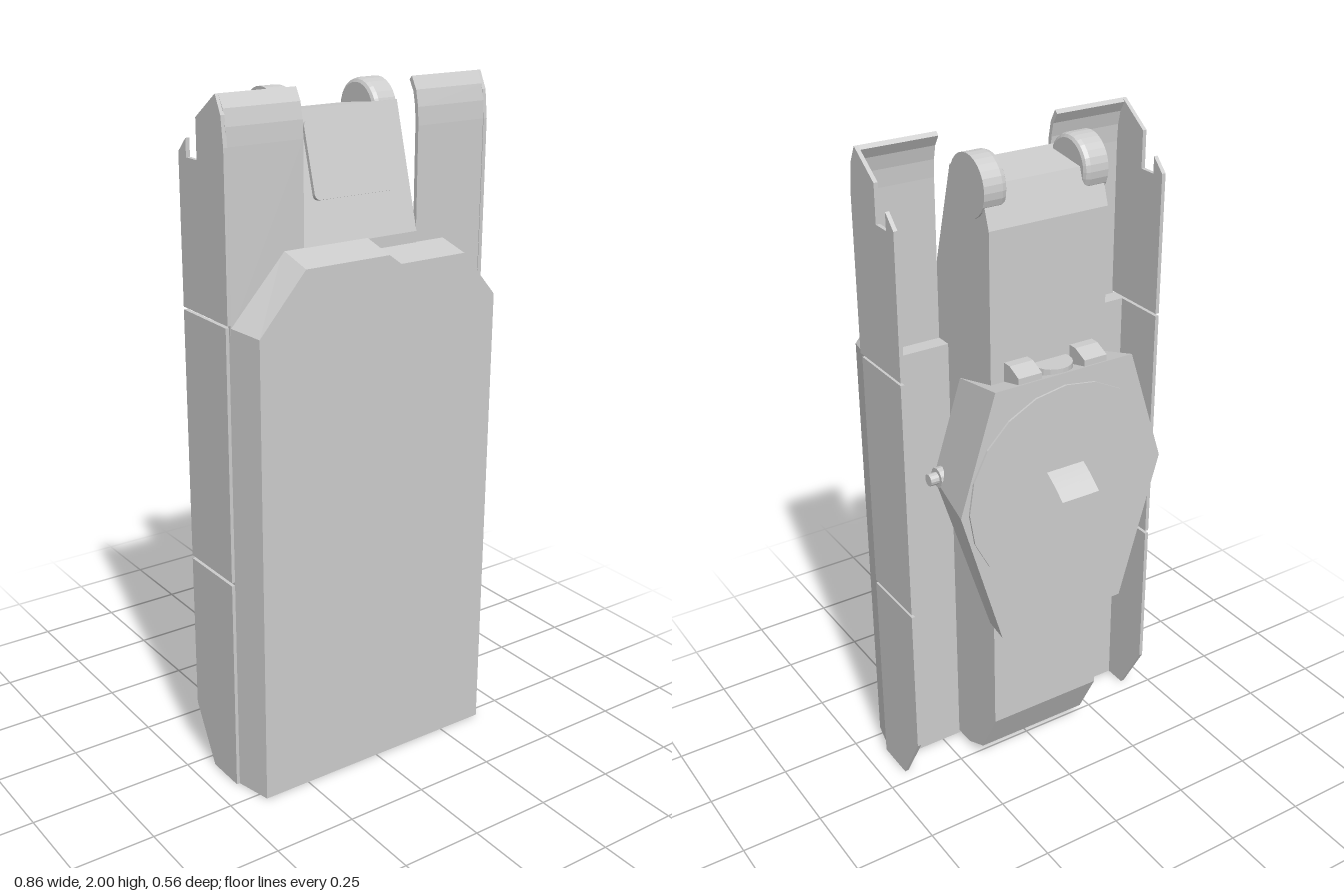
import * as THREE from 'three';
import { ConvexGeometry } from 'three/addons/geometries/ConvexGeometry.js';

const mat = new THREE.MeshStandardMaterial({ color: 0xcccccc, flatShading: true });
const smooth = new THREE.MeshStandardMaterial({ color: 0xcccccc });
const V = (x, y, z) => new THREE.Vector3(x, y, z);

export function createModel() {
  const model = new THREE.Group();

  const add = (name, geo, material = mat) => {
    const m = new THREE.Mesh(geo, material);
    m.name = name;
    model.add(m);
    return m;
  };

  const box = (name, x0, x1, y0, y1, z0, z1) => {
    const g = new THREE.BoxGeometry(x1 - x0, y1 - y0, z1 - z0);
    g.translate((x0 + x1) / 2, (y0 + y1) / 2, (z0 + z1) / 2);
    return add(name, g);
  };

  // Side profile of [z, y] points, extruded from x0 to x1
  const profile = (name, pts, x0, x1) => {
    const shape = new THREE.Shape(pts.map(([z, y]) => new THREE.Vector2(z, y)));
    const g = new THREE.ExtrudeGeometry(shape, { depth: x1 - x0, bevelEnabled: false });
    g.rotateY(-Math.PI / 2).translate(x1, 0, 0);
    return add(name, g);
  };

  // Solid between a back and a front outline, both counterclockwise from the front
  const loft = (name, back, front, zBack, zFront) => {
    const n = back.length;
    const pos = [];
    const b = (i) => [...back[i % n], zBack];
    const f = (i) => [...front[i % n], zFront];
    for (let i = 0; i < n; i++) {
      pos.push(...b(i), ...b(i + 1), ...f(i + 1), ...b(i), ...f(i + 1), ...f(i));
    }
    const flat = front.map(([x, y]) => new THREE.Vector2(x, y));
    for (const [i, j, k] of THREE.ShapeUtils.triangulateShape(flat, [])) {
      pos.push(...f(i), ...f(j), ...f(k), ...b(k), ...b(j), ...b(i));
    }
    const g = new THREE.BufferGeometry();
    g.setAttribute('position', new THREE.Float32BufferAttribute(pos, 3));
    g.computeVertexNormals();
    return add(name, g);
  };

  // Bevelled belly slab with a stepped upper edge
  loft('bellySlab',
    [[-0.42, 0], [0.42, 0], [0.42, 1.4], [0.285, 1.55], [0.06, 1.55], [0.02, 1.585], [-0.25, 1.585], [-0.42, 1.4]],
    [[-0.395, 0], [0.395, 0], [0.395, 1.39], [0.28, 1.525], [0.06, 1.525], [0.02, 1.555], [-0.25, 1.555], [-0.395, 1.39]],
    0.17, 0.28);
  box('floorPlate', -0.42, 0.42, 0, 1.4, 0.115, 0.17);

  // Central hull with sloped nose and tail
  profile('hull', [
    [0.18, 0.01], [0.18, 1.58], [0.08, 1.93], [-0.075, 1.91], [-0.112, 1.8],
    [-0.112, 0.2], [-0.035, 0.05], [0.05, 0.01],
  ], -0.188, 0.188);

  // Raised hatch lying on the nose slope
  const hatchShape = new THREE.Shape();
  const hw = 0.136, hh = 0.105, r = 0.018;
  hatchShape.moveTo(-hw + r, -hh);
  hatchShape.lineTo(hw - r, -hh).quadraticCurveTo(hw, -hh, hw, -hh + r);
  hatchShape.lineTo(hw, hh - r).quadraticCurveTo(hw, hh, hw - r, hh);
  hatchShape.lineTo(-hw + r, hh).quadraticCurveTo(-hw, hh, -hw, hh - r);
  hatchShape.lineTo(-hw, -hh + r).quadraticCurveTo(-hw, -hh, -hw + r, -hh);
  const hatch = add('noseHatch', new THREE.ExtrudeGeometry(hatchShape, { depth: 0.012, bevelEnabled: false }));
  hatch.position.set(0, 1.797, 0.117);
  hatch.rotation.x = -Math.atan2(0.1, 0.35);

  for (const s of [1, -1]) {
    const side = s > 0 ? 'left' : 'right';
    const span = (a, b) => (s > 0 ? [a, b] : [-b, -a]);

    // Skirt in three panels with thin gaps
    const skirt = span(0.418, 0.43);
    profile(side + 'RearSkirt', [[0.17, 0], [0.17, 0.65], [-0.05, 0.65], [-0.05, 0.17], [0.045, 0]], ...skirt);
    profile(side + 'MiddleSkirt', [[0.17, 0.66], [0.17, 1.4], [-0.05, 1.4], [-0.05, 0.66]], ...skirt);
    profile(side + 'FrontSkirt', [
      [0.18, 1.408], [0.18, 1.87], [0.17, 1.95], [0.145, 2], [0.045, 1.93], [0.045, 1.82],
      [-0.01, 1.82], [-0.01, 1.87], [-0.05, 1.83], [-0.05, 1.408],
    ], ...skirt);

    // Fender plate curling back at its upper end
    profile(side + 'Fender', [
      [0.178, 1.38], [0.178, 1.87], [0.175, 1.92], [0.165, 1.965], [0.145, 2],
      [0.135, 1.99], [0.153, 1.96], [0.162, 1.92], [0.165, 1.87], [0.165, 1.38],
    ], ...span(0.188, 0.42));

    // Drive housing with a rounded inner rim
    const rim = [[0, 0.12], [0.075, 0.12], [0.083, 0.125], [0.087, 0.137], [0.087, 0.194], [0, 0.194]];
    const drum = new THREE.LatheGeometry(rim.map(([a, b]) => new THREE.Vector2(a, b)), 28);
    drum.rotateZ(s > 0 ? -Math.PI / 2 : Math.PI / 2).translate(0, 1.897, -0.015);
    add(side + 'DriveHousing', drum);

    // Round fitting on the turret flank
    for (const [name, radius, x0, x1] of [['Collar', 0.03, 0.26, 0.298], ['Pin', 0.018, 0.29, 0.325]]) {
      const g = new THREE.CylinderGeometry(radius, radius, x1 - x0, 12);
      g.rotateZ(Math.PI / 2).translate(s * (x0 + x1) / 2, 1.05, 0.01);
      add(side + 'Flank' + name, g);
    }

    // Lug beside the gun opening
    profile(side + 'GunLug', [[-0.04, 1.3], [-0.04, 1.39], [-0.08, 1.42], [-0.14, 1.42], [-0.185, 1.4], [-0.185, 1.3]],
      ...span(0.07, 0.145));
  }

  // Six-sided turret, widest at its roof
  const turretPoints = [];
  for (const s of [1, -1]) {
    turretPoints.push(
      V(s * 0.225, 1.385, -0.195), V(s * 0.34, 1.03, -0.195), V(s * 0.21, 0.58, -0.195),
      V(s * 0.2, 0.58, -0.11),
      V(s * 0.19, 1.32, 0.05), V(s * 0.285, 1.03, 0.05), V(s * 0.19, 0.79, 0.05));
  }
  add('turret', new ConvexGeometry(turretPoints));

  // Thin roof disc
  const disc = new THREE.CylinderGeometry(0.315, 0.315, 0.008, 20);
  disc.rotateX(Math.PI / 2).translate(0, 1.035, -0.197);
  add('roofDisc', disc);

  // Gun root between the lugs
  const root = new THREE.CylinderGeometry(0.06, 0.06, 0.1, 20);
  root.translate(0, 1.345, -0.125);
  add('gunRoot', root);

  // Curved single-sided flap on the roof
  const flap = new THREE.PlaneGeometry(0.124, 1, 1, 4);
  const p = flap.attributes.position;
  for (let i = 0; i < p.count; i++) {
    const t = 0.5 - p.getY(i);
    p.setY(i, 1.095 - 0.06 * t * (0.75 + 0.25 * t));
    p.setZ(i, -0.2 - 0.08 * t);
    p.setX(i, -p.getX(i));
  }
  flap.computeVertexNormals();
  add('roofFlap', flap, smooth);

  // Small tapered fitting under the turret
  const cone = new THREE.CylinderGeometry(0.02, 0.045, 0.06, 12);
  cone.rotateX(Math.PI / 2).translate(-0.21, 1.1, 0.08);
  add('underTurretFitting', cone);

  return model;
}
